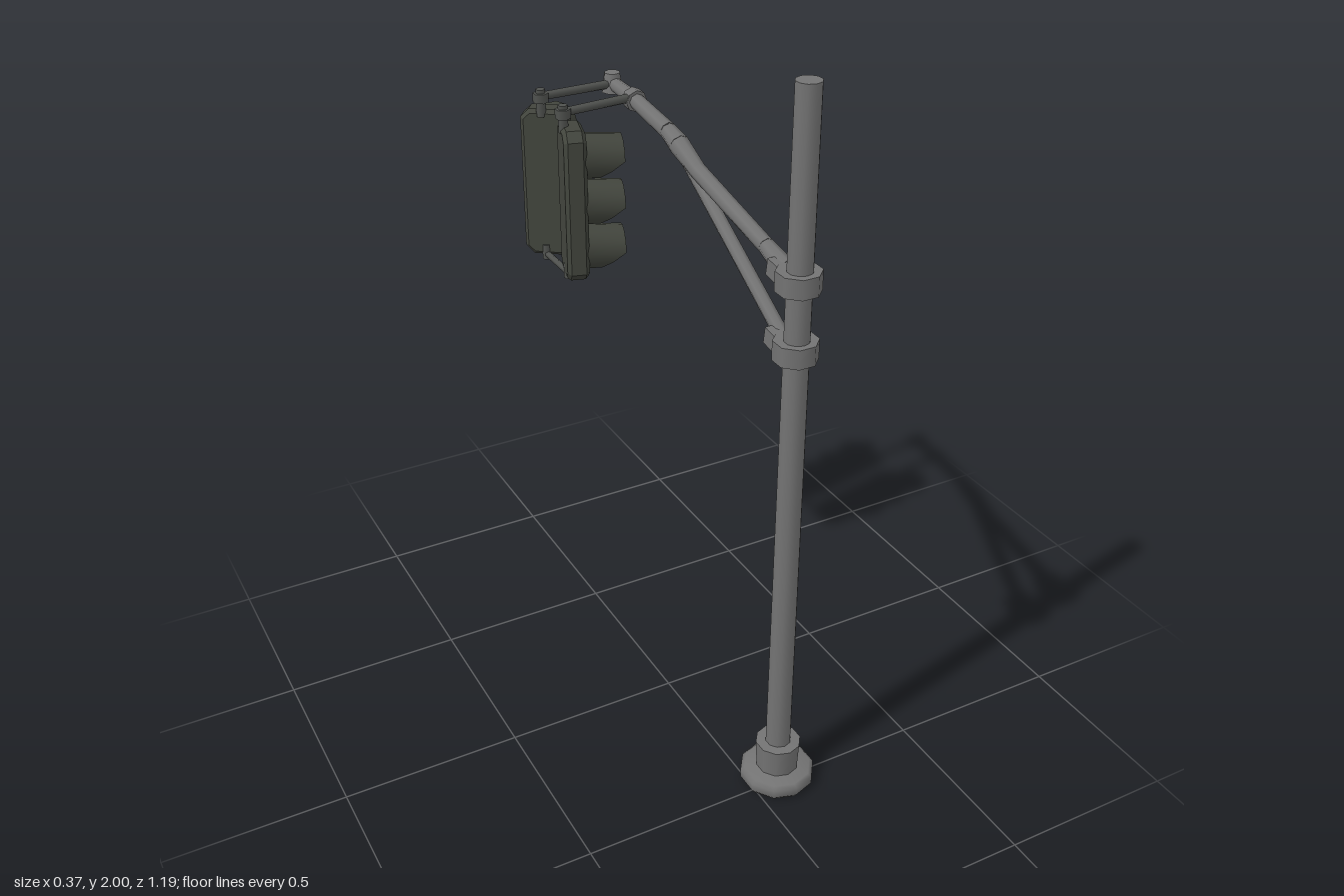
import * as THREE from 'three';

const mat = (name, color, extra = {}) => {
  const m = new THREE.MeshStandardMaterial({ color, ...extra });
  m.name = name;
  return m;
};
const V = (x, y, z) => new THREE.Vector3(x, y, z);
const POLE_X = 0.083, POLE_Z = 0.48;

export function createModel() {
  const steel = mat('steel grey', 0x737373);
  const bracketGrey = mat('bracket grey', 0x50524f);
  const housing = mat('housing dark olive', 0x42453d, { side: THREE.DoubleSide });
  const lenses = [mat('red lens', 0xb80505), mat('amber lens', 0xc07c08), mat('green lens', 0x058a1c)];

  const root = new THREE.Group();
  root.name = 'trafficSignalPole';

  const add = (parent, name, geo, material, pos) => {
    const m = new THREE.Mesh(geo, material);
    m.name = name;
    if (pos) m.position.copy(pos);
    parent.add(m);
    return m;
  };
  // Tapered rod from a to b
  const rod = (name, a, b, ra, rb, material, sides = 8) => {
    const dir = b.clone().sub(a);
    const m = add(root, name, new THREE.CylinderGeometry(rb, ra, dir.length(), sides), material,
      a.clone().add(b).multiplyScalar(0.5));
    m.quaternion.setFromUnitVectors(V(0, 1, 0), dir.normalize());
    return m;
  };

  // Pole with stepped base
  rod('pole', V(POLE_X, 0.02, POLE_Z), V(POLE_X, 2, POLE_Z), 0.035, 0.032, steel, 10);
  const baseProfile = [[0, 0], [0.094, 0], [0.103, 0.012], [0.103, 0.034], [0.092, 0.042],
    [0.058, 0.048], [0.058, 0.048], [0.062, 0.13], [0.062, 0.13], [0.03, 0.132]];
  add(root, 'base', new THREE.LatheGeometry(baseProfile.map(p => new THREE.Vector2(...p)), 10),
    steel, V(POLE_X, 0, POLE_Z));

  // Pole clamps
  for (const [name, y] of [['upperClamp', 1.522], ['lowerClamp', 1.342]]) {
    const c = add(root, name, new THREE.CylinderGeometry(0.057, 0.057, 0.052, 8), steel,
      V(POLE_X, y, POLE_Z - 0.004));
    c.rotation.y = Math.PI / 8;
    const lug = add(root, name + 'Lug', new THREE.BoxGeometry(0.07, 0.045, 0.06), steel,
      V(POLE_X, y + 0.003, POLE_Z - 0.06));
    lug.rotation.x = 0.15;
  }

  // Mast arm: a chain of tapered sections, [y, z, radius]
  const arm = [[1.525, 0.42, 0.028], [1.55, 0.33, 0.021], [1.622, 0, 0.022], [1.658, -0.1, 0.028],
    [1.676, -0.16, 0.023], [1.702, -0.35, 0.021], [1.71, -0.49, 0.018]];
  for (let i = 0; i < arm.length - 1; i++) {
    const [y0, z0, r0] = arm[i], [y1, z1, r1] = arm[i + 1];
    rod('mastArm', V(POLE_X, y0, z0), V(POLE_X, y1, z1), r0, r1, steel);
  }
  rod('diagonalStrut', V(POLE_X, 1.345, 0.425), V(POLE_X, 1.65, -0.09), 0.019, 0.018, steel);
  rod('armEndCap', V(POLE_X, 1.685, -0.48), V(POLE_X, 1.738, -0.48), 0.031, 0.022, steel);
  rod('armCollar', V(POLE_X, 1.7, -0.335), V(POLE_X, 1.702, -0.365), 0.03, 0.03, steel);

  // Hangers from the arm and the tie bar under the signals
  const pivots = [[-0.142, -0.312, -0.35], [-0.142, -0.452, -0.475]];
  for (const [x, z, armZ] of pivots) {
    rod('hangerRod', V(POLE_X, 1.708, armZ), V(x, 1.715, z), 0.012, 0.011, bracketGrey, 6);
    rod('hangerPivot', V(x, 1.66, z), V(x, 1.735, z), 0.013, 0.013, bracketGrey, 6);
    add(root, 'hangerKnuckle', new THREE.CylinderGeometry(0.021, 0.021, 0.025, 6), bracketGrey, V(x, 1.712, z));
    rod('lowerPivot', V(x, 1.247, z), V(x, 1.29, z), 0.012, 0.012, bracketGrey, 6);
  }
  rod('lowerTieBar', V(-0.142, 1.262, -0.30), V(-0.142, 1.262, -0.465), 0.009, 0.009, bracketGrey, 6);

  // Housing outline with clipped corners
  const w = 0.055, h = 0.2, c = 0.018;
  const outline = new THREE.Shape([[-w + c, -h], [w - c, -h], [w, -h + c], [w, h - c], [w - c, h],
    [-w + c, h], [-w, h - c], [-w, -h + c]].map(p => new THREE.Vector2(...p)));
  const bodyGeo = new THREE.ExtrudeGeometry(outline,
    { depth: 0.04, bevelEnabled: true, bevelSize: 0.01, bevelThickness: 0.01, bevelSegments: 1 });
  bodyGeo.translate(0, 0, 0.01);

  // Visor: open tube, lower front edge cut back
  const R = 0.058, L = 0.105;
  const visorGeo = new THREE.CylinderGeometry(R, R + 0.003, L, 12, 1, true);
  visorGeo.rotateX(Math.PI / 2).translate(0, 0, L / 2);
  const p = visorGeo.attributes.position;
  for (let i = 0; i < p.count; i++) {
    if (p.getZ(i) > L / 2) {
      const y = p.getY(i);
      p.setZ(i, L * (y < 0 ? 1 + 0.68 * y / R : 1));
      p.setY(i, y - 0.004);
    }
  }
  visorGeo.computeVertexNormals();
  const lensGeo = new THREE.CylinderGeometry(0.045, 0.052, 0.022, 10).rotateX(Math.PI / 2);

  // Signal heads: back centre x, z and facing direction
  const heads = [['nearSignal', -0.152, -0.312, 0.96, 0.28], ['farSignal', -0.14, -0.445, 0.6, -0.8]];
  for (const [name, x, z, dx, dz] of heads) {
    const g = new THREE.Group();
    g.name = name;
    g.position.set(x, 1.468, z);
    g.rotation.y = Math.atan2(dx, dz);
    root.add(g);
    add(g, 'housing', bodyGeo, housing);
    lenses.forEach((lens, i) => {
      const y = 0.127 - i * 0.129;
      add(g, 'visor', visorGeo, housing, V(0, y, 0.055));
      add(g, 'lens', lensGeo, lens, V(0, y, 0.068));
    });
  }
  return root;
}
